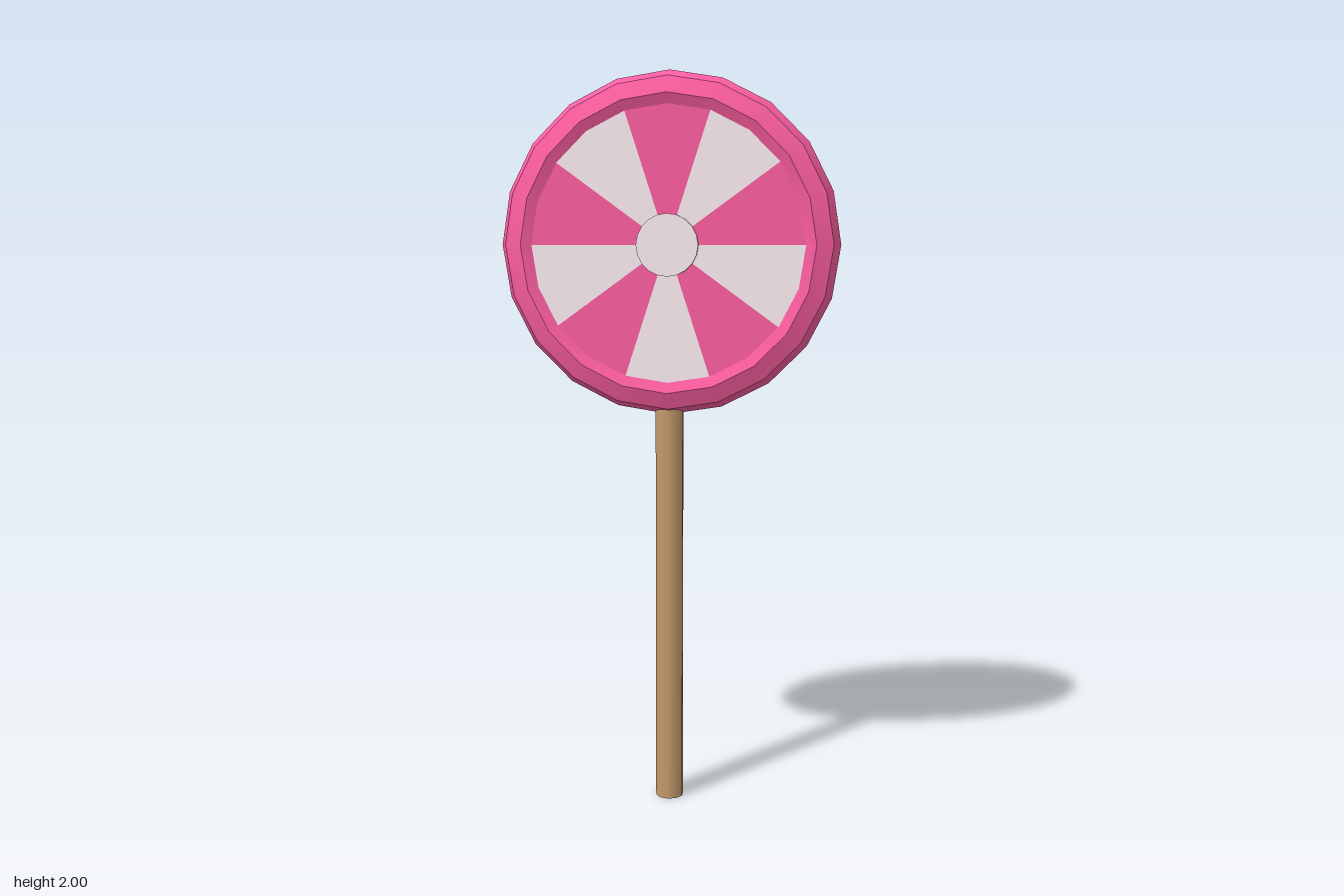
import * as THREE from 'three';
import { toCreasedNormals } from 'three/addons/utils/BufferGeometryUtils.js';

const CENTRE_Y = 1.544;

export function createModel() {
  const group = new THREE.Group();
  const pink = new THREE.MeshStandardMaterial({ color: 0xff5fa2 });
  const cream = new THREE.MeshStandardMaterial({ color: 0xfff0f5 });
  const wood = new THREE.MeshStandardMaterial({ color: 0xc49a6c });

  const add = (name, geometry, material, y, parent = group) => {
    const mesh = new THREE.Mesh(geometry, material);
    mesh.name = name;
    mesh.position.y = y;
    parent.add(mesh);
    return mesh;
  };

  // Stick, tucked into the bottom of the rim
  const stickHeight = 1.13;
  add('stick', new THREE.CylinderGeometry(0.0385, 0.0385, stickHeight, 10), wood, stickHeight / 2);

  // Candy head
  const head = new THREE.Group();
  head.name = 'candyHead';
  head.position.y = CENTRE_Y;
  group.add(head);

  // Octagonal-section rim: smooth around the circle, sharp across the section
  add('rim', toCreasedNormals(new THREE.TorusGeometry(0.394, 0.063, 8, 20), Math.PI / 6), pink, 0, head);

  // Ten alternating wedges, counted from the bottom one
  const step = Math.PI / 5;
  for (let i = 0; i < 10; i++) {
    const wedge = new THREE.CylinderGeometry(0.372, 0.372, 0.103, 2, 1, false, (i - 0.5) * step, step);
    wedge.rotateX(Math.PI / 2);
    add('wedge' + (i + 1), wedge, i % 2 ? pink : cream, 0, head);
  }

  // Centre button, showing on both faces
  const hub = new THREE.CylinderGeometry(0.083, 0.083, 0.124, 20);
  hub.rotateX(Math.PI / 2);
  add('hub', hub, cream, 0, head);

  return group;
}
